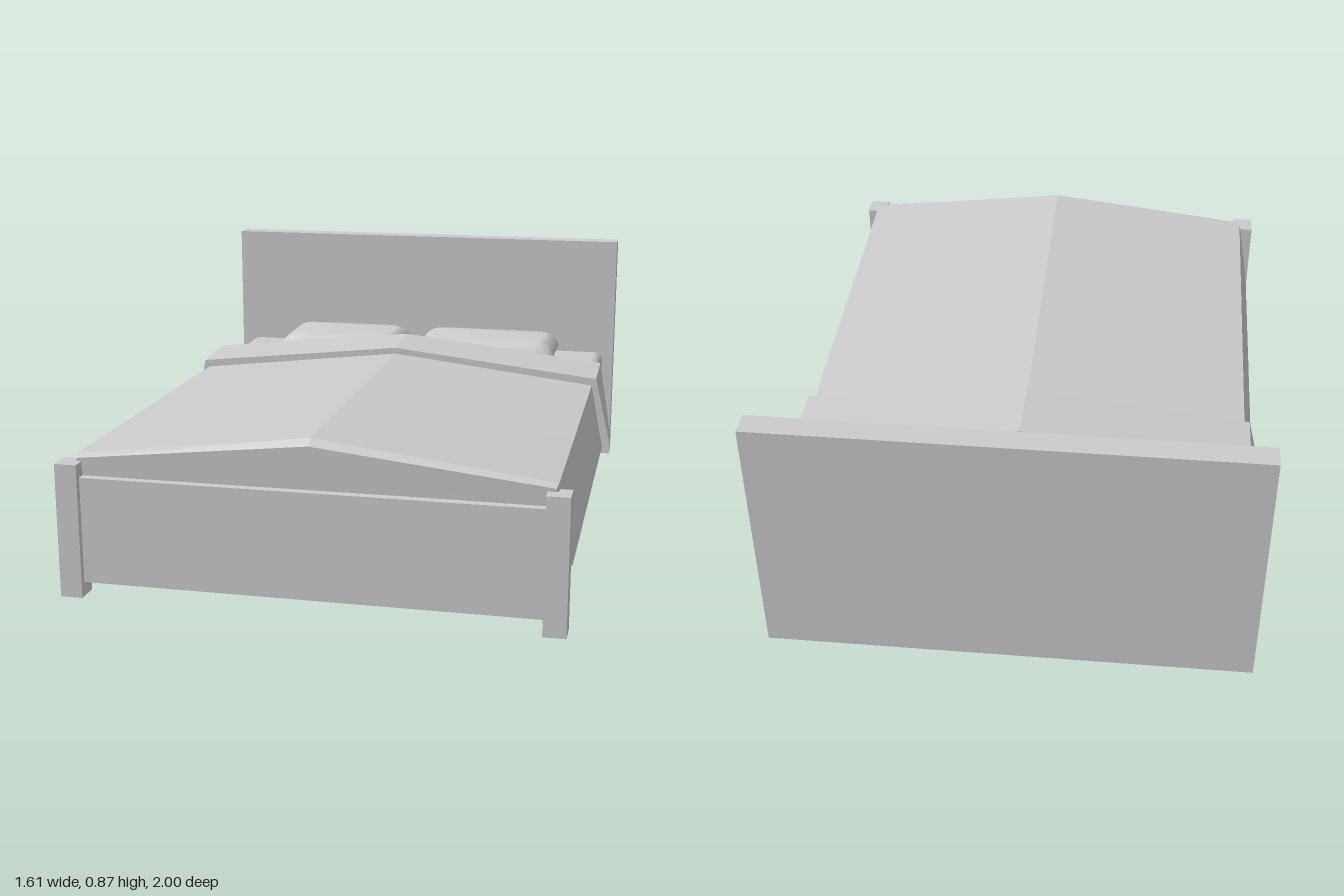
import * as THREE from 'three';
import { toCreasedNormals } from 'three/addons/utils/BufferGeometryUtils.js';
import { RoundedBoxGeometry } from 'three/addons/geometries/RoundedBoxGeometry.js';

const material = new THREE.MeshStandardMaterial({ color: 0xcccccc, side: THREE.DoubleSide });

function add(group, name, geometry) {
  const mesh = new THREE.Mesh(geometry, material);
  mesh.name = name;
  group.add(mesh);
  return mesh;
}

// Box given by its extents along each axis
function box(group, name, [x0, x1], [y0, y1], [z0, z1]) {
  const mesh = add(group, name, new THREE.BoxGeometry(x1 - x0, y1 - y0, z1 - z0));
  mesh.position.set((x0 + x1) / 2, (y0 + y1) / 2, (z0 + z1) / 2);
}

// Closed solid through a list of equal-length convex rings
function loft(rings, crease) {
  const pos = [];
  const tri = (...pts) => pts.forEach(p => pos.push(...p));
  const n = rings[0].length;
  for (let i = 0; i + 1 < rings.length; i++) {
    for (let j = 0; j < n; j++) {
      const k = (j + 1) % n;
      const a = rings[i][j], b = rings[i][k], c = rings[i + 1][k], d = rings[i + 1][j];
      tri(a, b, c);
      tri(a, c, d);
    }
  }
  const first = rings[0], last = rings[rings.length - 1];
  for (let j = 1; j + 1 < n; j++) {
    tri(first[0], first[j + 1], first[j]);
    tri(last[0], last[j], last[j + 1]);
  }
  const geometry = new THREE.BufferGeometry();
  geometry.setAttribute('position', new THREE.Float32BufferAttribute(pos, 3));
  return toCreasedNormals(geometry, crease);
}

// Roof-shaped cover; each row is [z, ridgeY, edgeX, edgeY, hemX, hemY, hemZ]
function cover(rows) {
  return loft(rows.map(([z, ridgeY, edgeX, edgeY, hemX, hemY, hemZ = z]) => [
    [hemX, hemY, hemZ], [edgeX, edgeY, z], [0, ridgeY, z],
    [-edgeX, edgeY, z], [-hemX, hemY, hemZ],
  ]), 0.1);
}

// Cushion from stacked rounded rectangles; levels are [y, insetX, insetZ]
function pillow(width, depth) {
  const levels = [
    [0, 0.04, 0.03], [0.005, 0.022, 0.018], [0.02, 0.006, 0.005], [0.035, 0, 0],
    [0.045, 0.003, 0.003], [0.065, 0.02, 0.015], [0.078, 0.036, 0.027], [0.084, 0.052, 0.04],
  ];
  const soft = v => Math.sign(v) * Math.abs(v) ** 0.2;
  return loft(levels.map(([y, ix, iz]) => Array.from({ length: 48 }, (_, i) => {
    const a = (i + 0.5) / 48 * Math.PI * 2;
    return [soft(Math.cos(a)) * (width / 2 - ix), y, -soft(Math.sin(a)) * (depth / 2 - iz)];
  })), 0.7);
}

export function createModel() {
  const bed = new THREE.Group();
  bed.name = 'bed';

  // Frame
  box(bed, 'headboard', [-0.78, 0.77], [0, 0.87], [-1, -0.925]);
  box(bed, 'footboard', [-0.72, 0.71], [0.045, 0.38], [0.94, 0.98]);
  box(bed, 'leftPost', [0.70, 0.77], [0, 0.425], [0.925, 1]);
  box(bed, 'rightPost', [-0.78, -0.71], [0, 0.425], [0.925, 1]);
  box(bed, 'bedBase', [-0.76, 0.75], [0.10, 0.235], [-0.93, 0.945]);

  // Mattress
  const mattress = add(bed, 'mattress', new RoundedBoxGeometry(1.46, 0.19, 1.84, 5, 0.035));
  mattress.position.set(0, 0.335, 0.002);

  // Blanket and its turned-down top
  add(bed, 'blanket', cover([
    [-0.52, 0.51, 0.73, 0.428, 0.775, 0.20],
    [-0.32, 0.515, 0.73, 0.43, 0.775, 0.20],
    [0.935, 0.535, 0.73, 0.445, 0.775, 0.20],
    [0.957, 0.515, 0.725, 0.435, 0.765, 0.20, 0.94],
  ]));
  add(bed, 'blanketFold', cover([
    [-0.542, 0.545, 0.745, 0.465, 0.79, 0.20, -0.535],
    [-0.318, 0.537, 0.745, 0.455, 0.805, 0.20],
  ]));

  // Pillows
  add(bed, 'leftPillow', pillow(0.55, 0.29)).position.set(0.283, 0.426, -0.763);
  add(bed, 'rightPillow', pillow(0.49, 0.29)).position.set(-0.29, 0.426, -0.763);

  return bed;
}
